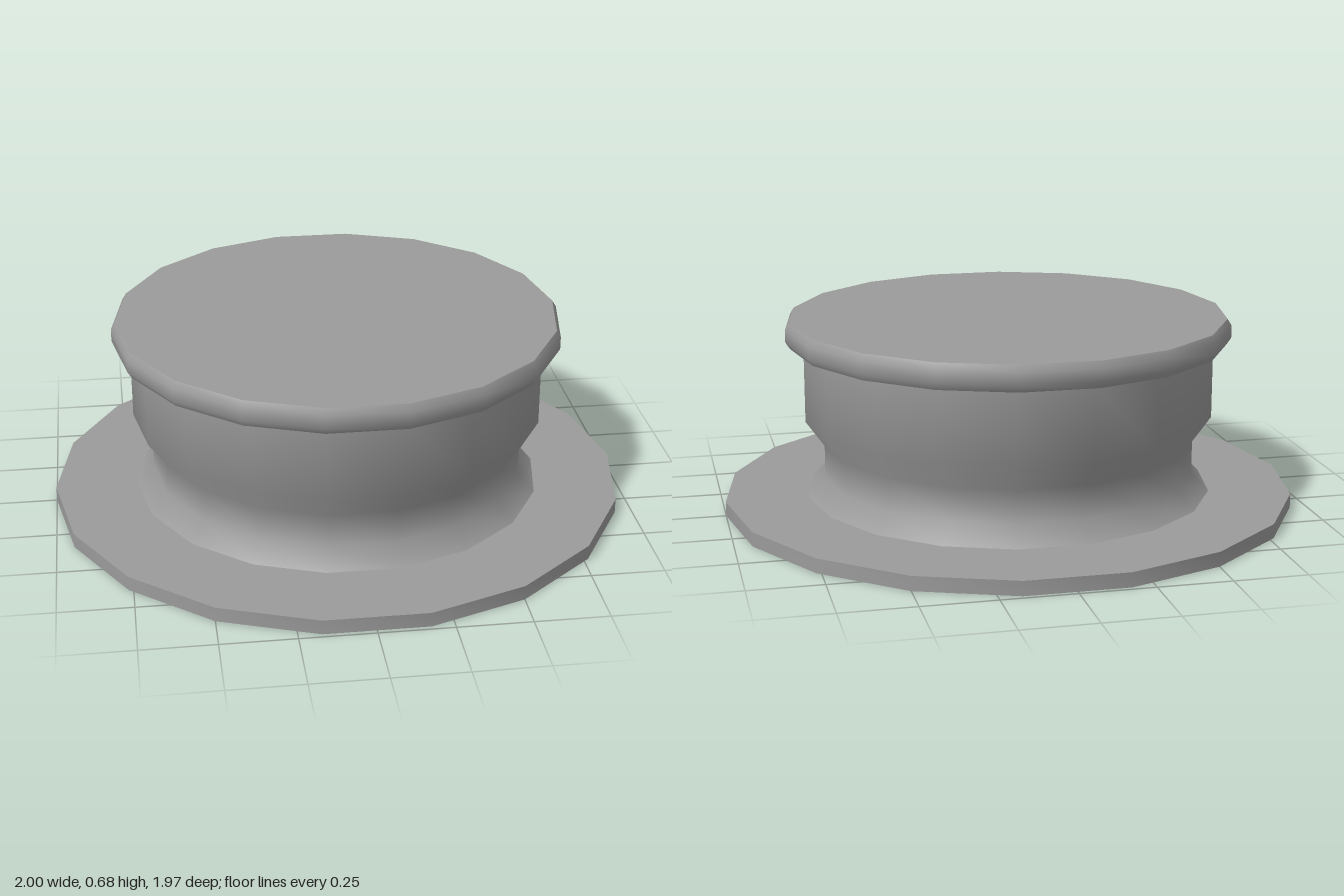
import * as THREE from 'three';
import { toCreasedNormals } from 'three/addons/utils/BufferGeometryUtils.js';

const SIDES = 18;

export function createModel() {
  const group = new THREE.Group();
  const material = new THREE.MeshStandardMaterial({ color: 0x9b9b9b });

  // Revolves a [radius, height] profile, with a corner of the polygon on +x
  function turned(name, profile) {
    const points = profile.map(([r, y]) => new THREE.Vector2(r, y));
    const lathe = new THREE.LatheGeometry(points, SIDES, Math.PI / 2);
    const mesh = new THREE.Mesh(toCreasedNormals(lathe, 0.9), material);
    mesh.name = name;
    group.add(mesh);
  }

  // Wide flat disc the body stands on
  turned('baseFlange', [[0, 0], [1, 0], [1, 0.05], [0, 0.05]]);

  // Drum with a narrowed waist and flared foot
  turned('body', [[0.713, 0.05], [0.652, 0.115], [0.652, 0.23], [0.716, 0.32], [0.716, 0.585]]);

  // Overhanging lid with a softened rim and a barely domed top
  turned('lid', [
    [0, 0.578], [0.762, 0.582], [0.777, 0.605], [0.777, 0.648], [0.763, 0.671], [0, 0.676],
  ]);

  return group;
}
